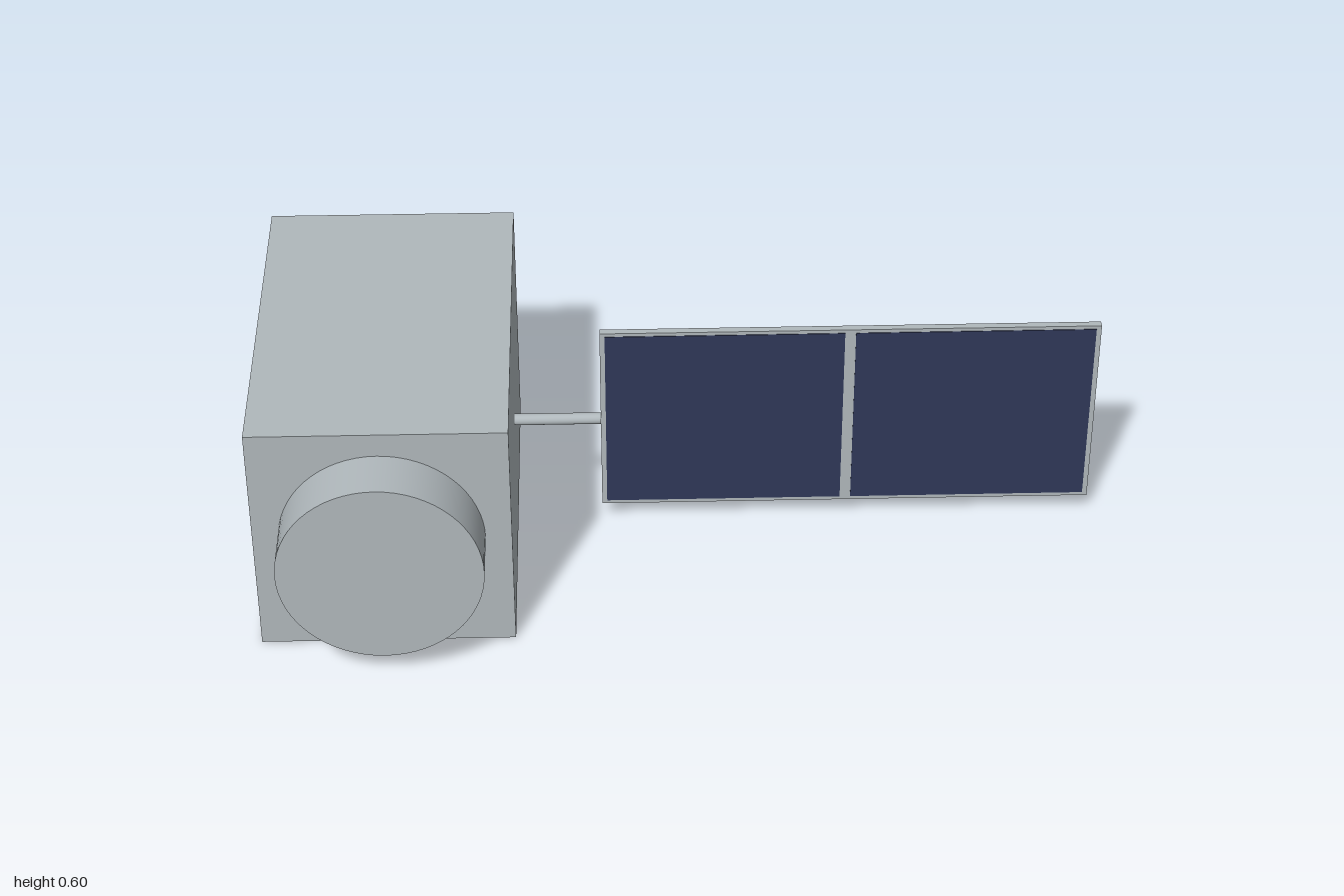
import * as THREE from 'three';

export function createModel() {
  const group = new THREE.Group();
  const metal = new THREE.MeshStandardMaterial({ color: 0xb0b8bc });
  metal.name = 'grey metal';
  const cellBlue = new THREE.MeshStandardMaterial({ color: 0x303858 });
  cellBlue.name = 'dark blue cells';

  const add = (name, geometry, material, x, y, z) => {
    const mesh = new THREE.Mesh(geometry, material);
    mesh.name = name;
    mesh.position.set(x, y, z);
    group.add(mesh);
    return mesh;
  };
  // Box given by its limits on each axis
  const box = (name, material, [x0, x1], [y0, y1], [z0, z1]) =>
    add(name, new THREE.BoxGeometry(x1 - x0, y1 - y0, z1 - z0), material,
      (x0 + x1) / 2, (y0 + y1) / 2, (z0 + z1) / 2);

  const panelZ = -0.064;
  const midY = 0.301;

  // Main body and the round drum on its front
  box('body', metal, [-1, -0.403], [0, 0.598], [-0.527, 0.394]);
  add('frontDrum', new THREE.CylinderGeometry(0.238, 0.238, 0.133, 64), metal, -0.702, midY, 0.4605)
    .rotation.x = Math.PI / 2;

  // Rod carrying the solar panel
  add('panelRod', new THREE.CylinderGeometry(0.014, 0.014, 0.208, 24), metal, -0.299, midY, panelZ)
    .rotation.z = Math.PI / 2;

  // Solar panel with two cell fields on its front
  box('panelFrame', metal, [-0.195, 1], [0.048, 0.554], [panelZ - 0.009, panelZ + 0.009]);
  for (const xs of [[-0.183, 0.389], [0.415, 0.988]]) {
    box('solarCells', cellBlue, xs, [0.058, 0.545], [panelZ + 0.008, panelZ + 0.0105]);
  }
  return group;
}
